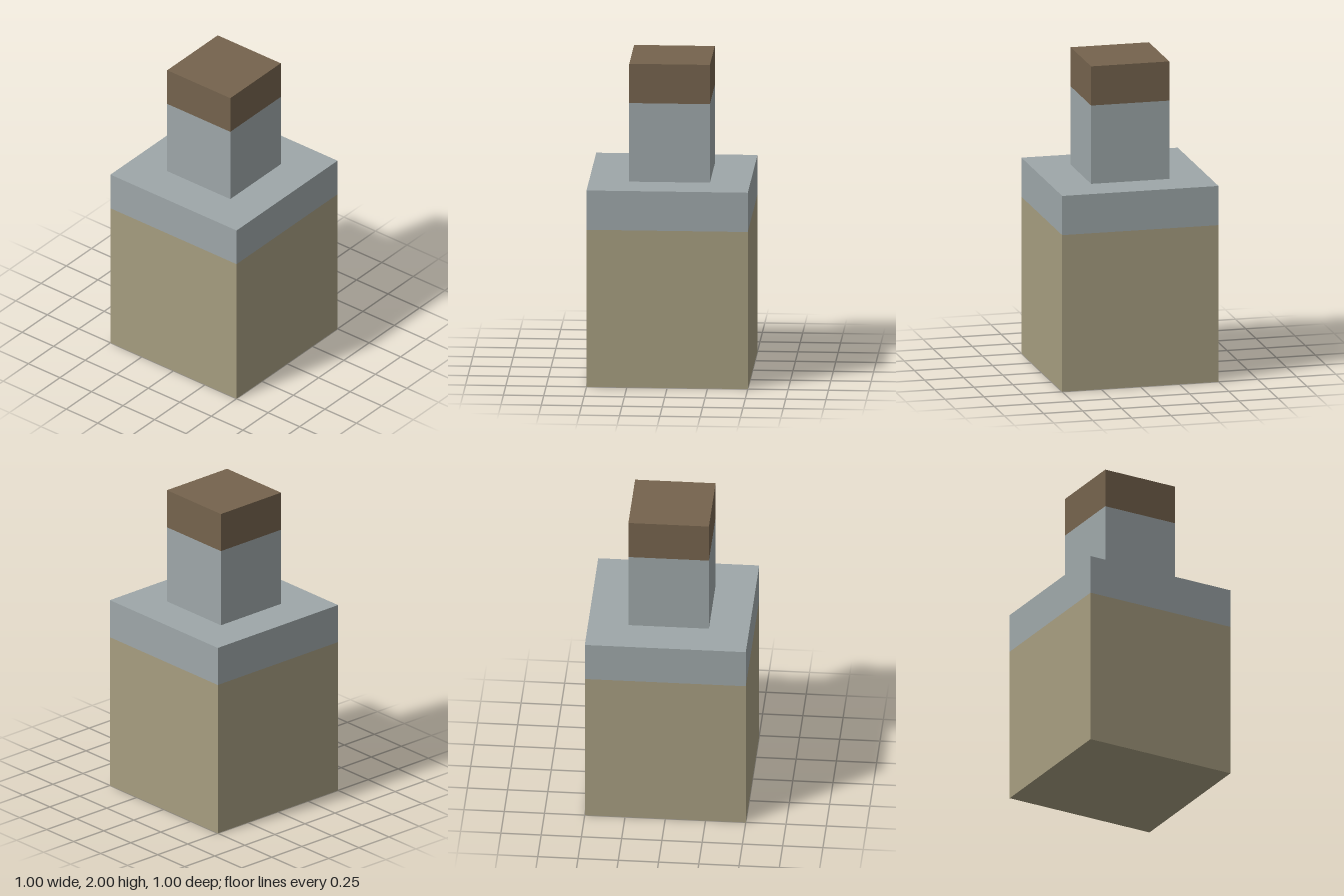
import * as THREE from 'three';

export function createModel() {
  const group = new THREE.Group();
  group.name = 'bottle';

  const glass = new THREE.MeshStandardMaterial({ color: 0x9ea7a9 });
  const contents = new THREE.MeshStandardMaterial({ color: 0xa69d80 });
  const cork = new THREE.MeshStandardMaterial({ color: 0x75634d });

  // A square block of the given width, spanning bottom to top
  function addBlock(name, width, bottom, top, material) {
    const mesh = new THREE.Mesh(new THREE.BoxGeometry(width, top - bottom, width), material);
    mesh.name = name;
    mesh.position.y = (bottom + top) / 2;
    group.add(mesh);
  }

  // Square body: filled part and the clear shoulder above it
  addBlock('filledBody', 1, 0, 1, contents);
  addBlock('shoulder', 1, 1, 1.25, glass);

  // Narrow neck closed by a stopper
  addBlock('neck', 0.5, 1.25, 1.75, glass);
  addBlock('stopper', 0.5, 1.75, 2, cork);

  return group;
}
